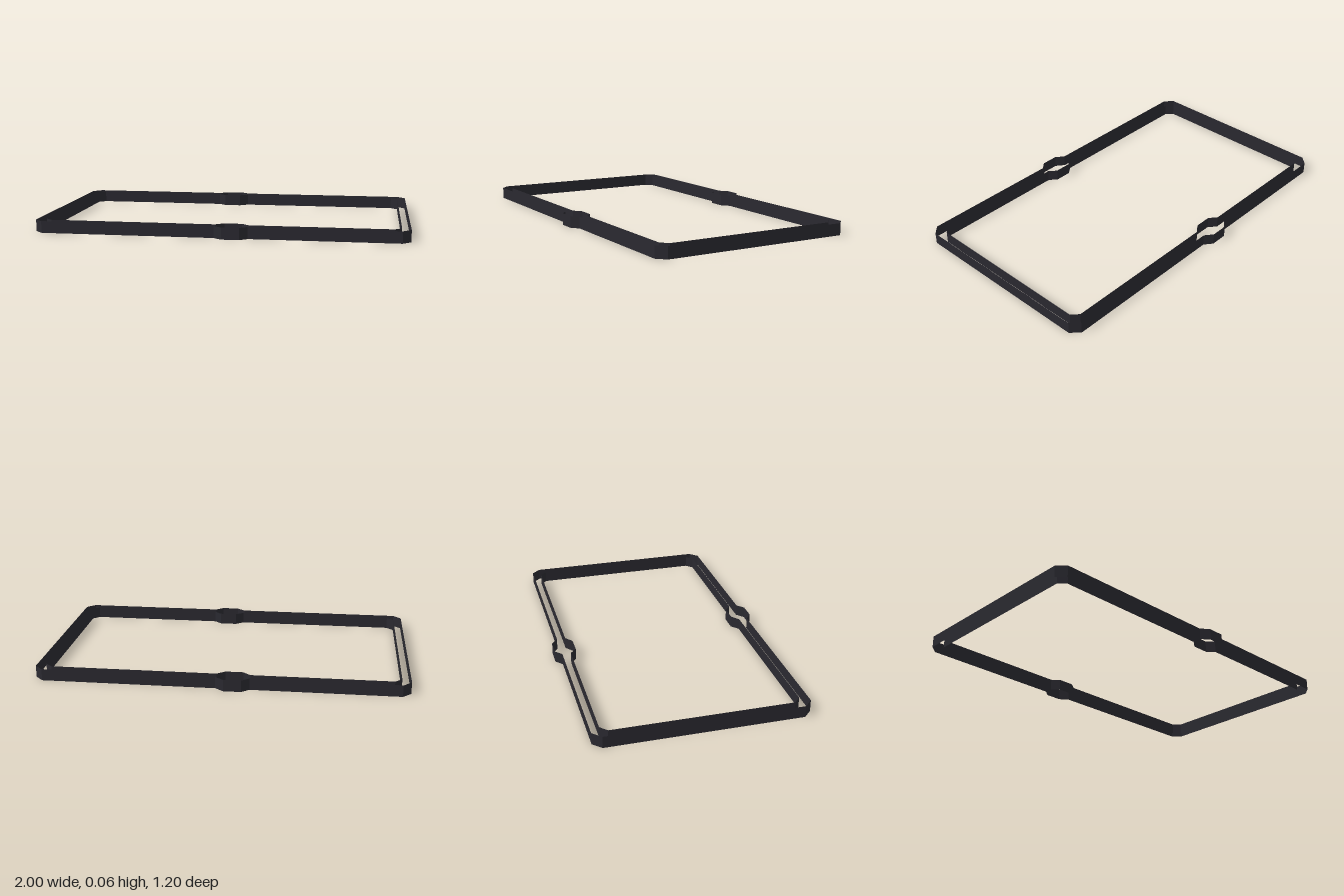
import * as THREE from 'three';

const HEIGHT = 0.064;

// Vertical wall standing on a closed loop of [x, z] points, open at top and bottom
function wallAlong(loop) {
  const pos = [];
  loop.forEach(([ax, az], i) => {
    const [bx, bz] = loop[(i + 1) % loop.length];
    pos.push(ax, 0, az, bx, 0, bz, bx, HEIGHT, bz);
    pos.push(ax, 0, az, bx, HEIGHT, bz, ax, HEIGHT, az);
  });
  const geo = new THREE.BufferGeometry();
  geo.setAttribute('position', new THREE.Float32BufferAttribute(pos, 3));
  geo.computeVertexNormals();
  return geo;
}

// Complete a half loop by turning it half a circle about the vertical axis
const closeLoop = (half) => [...half, ...half.map(([x, z]) => [-x, -z])];

export function createModel() {
  const group = new THREE.Group();
  group.name = 'frame';
  const charcoal = new THREE.MeshStandardMaterial({ color: 0x2a2930, side: THREE.DoubleSide });
  charcoal.name = 'charcoal';

  // Outer wall: chamfered corners and a bulge pushed outwards
  const outer = closeLoop([
    [-1, 0.52], [-0.955, 0.565],
    [-0.018, 0.565], [0.027, 0.6], [0.122, 0.6], [0.162, 0.565],
    [0.955, 0.565], [1, 0.52],
  ]);
  // Inner wall: the same outline set back, with the bulge pushed inwards
  const inner = closeLoop([
    [-0.953, 0.482], [-0.915, 0.518],
    [-0.018, 0.518], [0.027, 0.483], [0.122, 0.483], [0.162, 0.518],
    [0.915, 0.518], [0.953, 0.482],
  ]).reverse();

  for (const [name, loop] of [['outerWall', outer], ['innerWall', inner]]) {
    const mesh = new THREE.Mesh(wallAlong(loop), charcoal);
    mesh.name = name;
    group.add(mesh);
  }
  return group;
}
